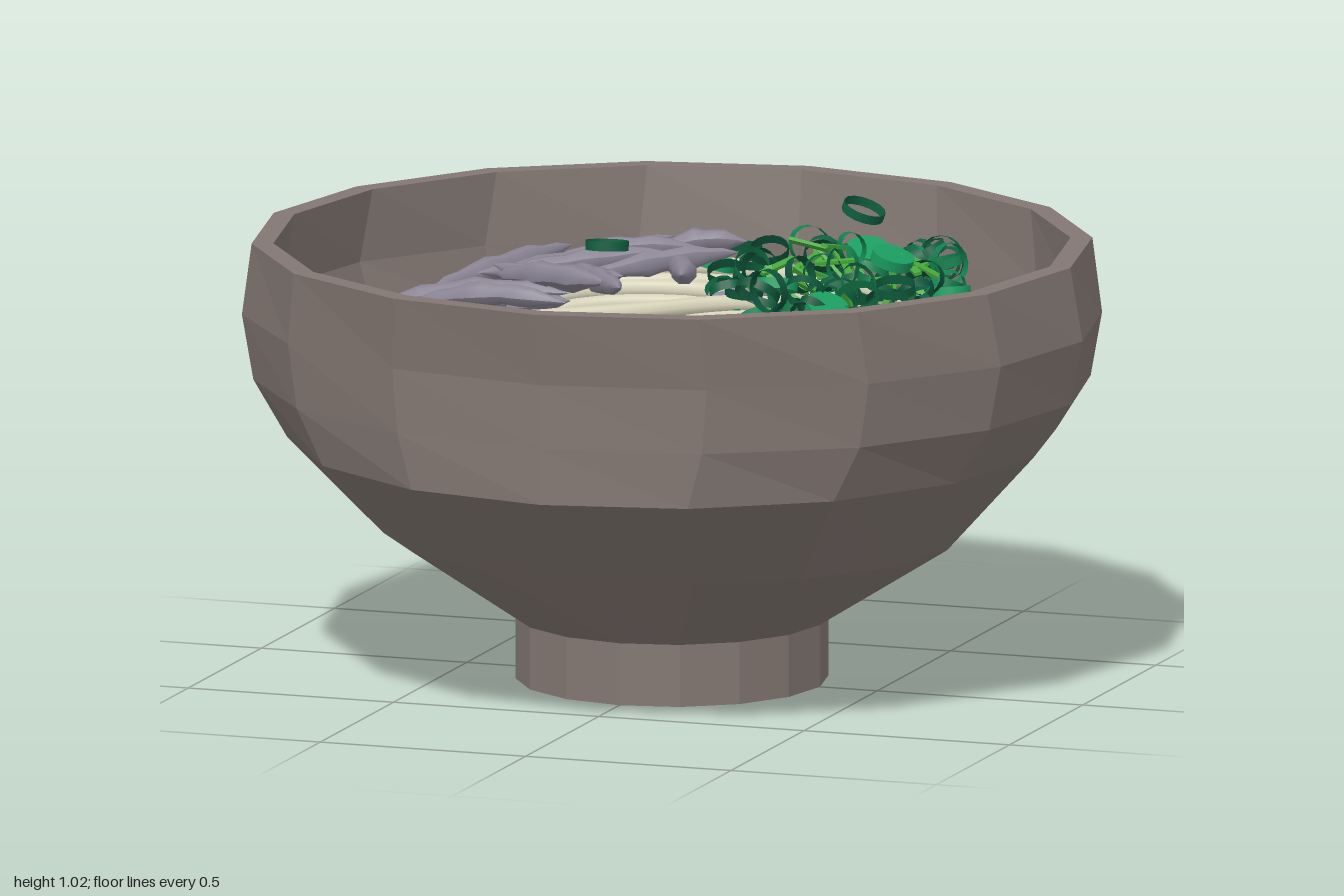
import * as THREE from 'three';

const mat = (color, opts = {}) => new THREE.MeshStandardMaterial({ color, ...opts });
let seed = 7;
const rnd = (a = 0, b = 1) => {
  seed = (seed * 16807) % 2147483647;
  return a + (b - a) * (seed / 2147483647);
};
const add = (parent, name, geometry, material) => {
  const mesh = new THREE.Mesh(geometry, material);
  mesh.name = name;
  parent.add(mesh);
  return mesh;
};

// Sixteen-sided bowl: rings of [half width x, half depth z, height]
function bowlGeometry() {
  const rings = [
    [0, 0, 0], [0.36, 0.36, 0], [0.36, 0.36, 0.145], [0.67, 0.62, 0.34], [0.88, 0.905, 0.57],
    [0.97, 0.905, 0.7], [1, 0.905, 0.85], [0.97, 0.935, 1.02],
    [0.92, 0.885, 1.02], [0.95, 0.86, 0.85], [0.91, 0.87, 0.7], [0.82, 0.84, 0.58], [0.6, 0.55, 0.38], [0, 0, 0.2],
  ];
  const geo = new THREE.LatheGeometry(rings.map(([x, , y]) => new THREE.Vector2(x, y)), 16);
  const p = geo.attributes.position;
  for (let i = 0; i < p.count; i++) {
    const [rx, rz] = rings[i % rings.length];
    if (rx) p.setZ(i, p.getZ(i) * rz / rx);
  }
  return geo;
}

// Noodle rows: start height, end height, then x, z pairs
const outerNoodles = [
  [0.9, 0.8, -0.12, 0.8, 0.17, 0.71, 0.43, 0.52, 0.62, 0.27, 0.72, -0.05, 0.7, -0.24, 0.57, -0.43],
  [0.86, 0.82, -0.24, 0.67, 0.03, 0.62, 0.28, 0.47, 0.45, 0.25, 0.57, 0, 0.57, -0.25, 0.45, -0.45],
  [0.78, 0.82, -0.7, 0, -0.62, 0.17, -0.55, 0.34, -0.42, 0.5, -0.25, 0.63, -0.02, 0.7, 0.2, 0.66, 0.4, 0.5, 0.53, 0.25, 0.6, 0, 0.55, -0.25],
  [0.78, 0.8, -0.63, 0.15, -0.67, -0.1, -0.62, -0.35, -0.45, -0.58, -0.2, -0.71, 0, -0.71, 0.2, -0.62],
  [0.8, 0.8, -0.58, 0.05, -0.62, -0.2, -0.5, -0.45, -0.3, -0.6, -0.05, -0.65, 0.2, -0.57, 0.4, -0.4, 0.52, -0.2, 0.52, 0.1, 0.4, 0.3],
];
const innerNoodles = [
  [0.76, 0.82, -0.4, 0.4, -0.2, 0.46, 0.05, 0.48, 0.3, 0.43, 0.45, 0.22, 0.52, 0, 0.47, -0.2],
  [0.8, 0.84, -0.65, 0.1, -0.55, 0.23, -0.35, 0.2, -0.1, 0.05, 0.1, -0.15, 0.25, -0.25],
  [0.8, 0.84, -0.63, 0.13, -0.42, -0.05, -0.25, -0.2, 0, -0.26, 0.2, -0.2],
  [0.82, 0.76, 0.25, -0.15, 0.26, 0.1, 0.2, 0.3, 0.03, 0.4, -0.15, 0.4, -0.3, 0.35],
  [0.75, 0.76, -0.3, 0.2, -0.2, 0.31, -0.07, 0.34, 0.02, 0.31],
  [0.77, 0.83, 0.04, 0.11, 0.22, 0.11, 0.4, 0, 0.45, -0.15],
  [0.79, 0.82, -0.55, 0.2, -0.3, 0.23, 0, 0.21, 0.25, 0.06, 0.36, -0.15],
  [0.8, 0.84, -0.58, -0.28, -0.4, -0.49, -0.1, -0.54, 0.15, -0.46, 0.3, -0.3],
];

function noodle(row, scale, turn, drop) {
  const pts = [], n = (row.length - 2) / 2;
  for (let i = 0; i < n; i++) {
    const t = i / (n - 1);
    const y = THREE.MathUtils.lerp(row[0], row[1], t) + 0.03 * Math.sin(Math.PI * t) - drop;
    pts.push(new THREE.Vector3(row[2 + 2 * i] * scale, y, row[3 + 2 * i] * scale)
      .applyAxisAngle(new THREE.Vector3(0, 1, 0), turn));
  }
  const segs = n * 3, sides = 8;
  const geo = new THREE.TubeGeometry(new THREE.CatmullRomCurve3(pts), segs, 0.022, sides);
  // Close both ends with a fan
  const idx = [...geo.index.array];
  for (let k = 1; k < sides - 1; k++) {
    const e = segs * (sides + 1);
    idx.push(0, k, k + 1, e, e + k + 1, e + k);
  }
  geo.setIndex(idx);
  return geo;
}

// Shredded strips: start x, z, end x, z, height
const strips = [
  [-0.62, -0.1, -0.42, -0.5, 0.87], [-0.55, -0.2, -0.2, -0.58, 0.89], [-0.58, -0.28, -0.3, -0.54, 0.87],
  [-0.5, -0.23, -0.16, -0.4, 0.89], [-0.24, -0.5, -0.02, -0.57, 0.89], [-0.45, -0.34, -0.1, -0.5, 0.88],
  [-0.28, -0.2, 0.02, -0.4, 0.9], [-0.11, -0.31, 0.04, 0.05, 0.93], [-0.5, -0.17, -0.1, 0.05, 0.92],
  [-0.32, -0.2, -0.06, 0.19, 0.92], [-0.69, 0.03, -0.25, 0, 0.86], [-0.6, 0.12, -0.2, 0.16, 0.87],
  [-0.46, -0.1, -0.12, 0.1, 0.91], [-0.6, 0.01, -0.2, 0.13, 0.87], [0.02, -0.15, 0.22, -0.27, 0.88],
  [-0.56, 0.07, -0.28, 0.1, 0.88],
];

// Tapered, knobbly strip lying along its own y axis
function stripGeometry(length, k) {
  const profile = [];
  for (let i = 0; i <= 10; i++) {
    const t = i / 10;
    const r = 0.032 * Math.pow(Math.sin(Math.PI * t), 0.6) * (0.9 + 0.15 * Math.sin(i * 2.1 + k));
    profile.push(new THREE.Vector2(i % 10 ? r : 0, (t - 0.5) * length));
  }
  const geo = new THREE.LatheGeometry(profile, 8);
  const p = geo.attributes.position;
  for (let i = 0; i < p.count; i++) {
    p.setX(i, p.getX(i) + 0.025 * Math.sin(k) * Math.cos(Math.PI * p.getY(i) / length));
  }
  geo.computeVertexNormals();
  return geo;
}

export function createModel() {
  const model = new THREE.Group();
  model.name = 'noodleBowl';

  add(model, 'bowl', bowlGeometry(), mat(0x827772, { flatShading: true }));

  const broth = add(model, 'broth', new THREE.CircleGeometry(1, 16).rotateX(-Math.PI / 2), mat(0x665e42));
  broth.scale.set(0.915, 1, 0.872);
  broth.position.y = 0.71;

  // Noodles, each with a slightly tighter neighbour
  const noodles = new THREE.Group();
  noodles.name = 'noodles';
  model.add(noodles);
  const noodleMat = mat(0xd8d4bb);
  [...outerNoodles, ...innerNoodles].forEach((row, i) => {
    add(noodles, 'noodle', noodle(row, 1, 0, 0), noodleMat);
    if (i !== 2 && i !== 9) add(noodles, 'noodle', noodle(row, 0.94, i % 2 ? 0.07 : -0.06, 0.03), noodleMat);
  });

  // Strips heaped on the left
  const topping = new THREE.Group();
  topping.name = 'shreddedTopping';
  model.add(topping);
  const stripMat = mat(0x8b8595);
  strips.forEach(([x0, z0, x1, z1, y], k) => {
    const a = new THREE.Vector3(x0, y - 0.02, z0), b = new THREE.Vector3(x1, y + 0.02, z1);
    const strip = add(topping, 'strip', stripGeometry(a.distanceTo(b), k), stripMat);
    strip.position.copy(a).lerp(b, 0.5);
    strip.quaternion.setFromUnitVectors(new THREE.Vector3(0, 1, 0), b.sub(a).normalize());
  });

  // Heap of sliced green onion: hollow rings, slivers and solid discs
  const greens = new THREE.Group();
  greens.name = 'greenOnion';
  model.add(greens);
  const ringMats = [0x0f5f40, 0x14804f, 0x0d5238].map((c) => mat(c, { side: THREE.DoubleSide }));
  const ringGeo = new THREE.CylinderGeometry(0.05, 0.05, 0.022, 14, 1, true);
  const sliverGeo = new THREE.BoxGeometry(0.1, 0.008, 0.018);
  const sliverMat = mat(0x46a83a);
  const discGeo = new THREE.CylinderGeometry(0.05, 0.05, 0.025, 16);
  const discMat = mat(0x1a9c60);
  const heapSpot = (spread) => {
    const r = spread * Math.sqrt(rnd()), a = rnd(0, Math.PI * 2);
    const top = 0.97 - 0.6 * r * r;
    return [0.29 + r * 0.85 * Math.cos(a), rnd(0.8, top), -0.34 + r * Math.sin(a)];
  };
  for (let i = 0; i < 85; i++) {
    const ring = add(greens, 'onionRing', ringGeo, ringMats[i % 3]);
    ring.position.set(...heapSpot(0.32));
    ring.rotation.set(rnd(-1.3, 1.3), rnd(0, 6), rnd(-1.3, 1.3));
    ring.scale.set(rnd(0.7, 1.05), 1, rnd(0.6, 1.05));
  }
  for (let i = 0; i < 40; i++) {
    const sliver = add(greens, 'onionSliver', sliverGeo, sliverMat);
    sliver.position.set(...heapSpot(0.24));
    sliver.rotation.set(rnd(-1, 1), rnd(0, 6), rnd(-0.8, 0.8));
  }
  for (const [x, y, z] of [[-0.06, 0.88, -0.46], [0.43, 0.95, -0.3], [0.55, 0.87, -0.35], [0.2, 0.9, -0.15], [0.37, 0.88, -0.02], [0.3, 0.92, -0.5]]) {
    const disc = add(greens, 'onionDisc', discGeo, discMat);
    disc.position.set(x, y, z);
    disc.rotation.set(rnd(-0.4, 0.4), 0, rnd(-0.4, 0.4));
  }
  for (const [x, y, z] of [[0.21, 0.97, -0.72], [-0.06, 0.86, -0.65], [0.6, 0.85, -0.24], [-0.24, 0.95, -0.23]]) {
    const ring = add(greens, 'looseRing', ringGeo, ringMats[0]);
    ring.position.set(x, y, z);
    ring.rotation.set(rnd(-0.4, 0.4), 0, rnd(-0.4, 0.4));
  }
  return model;
}
